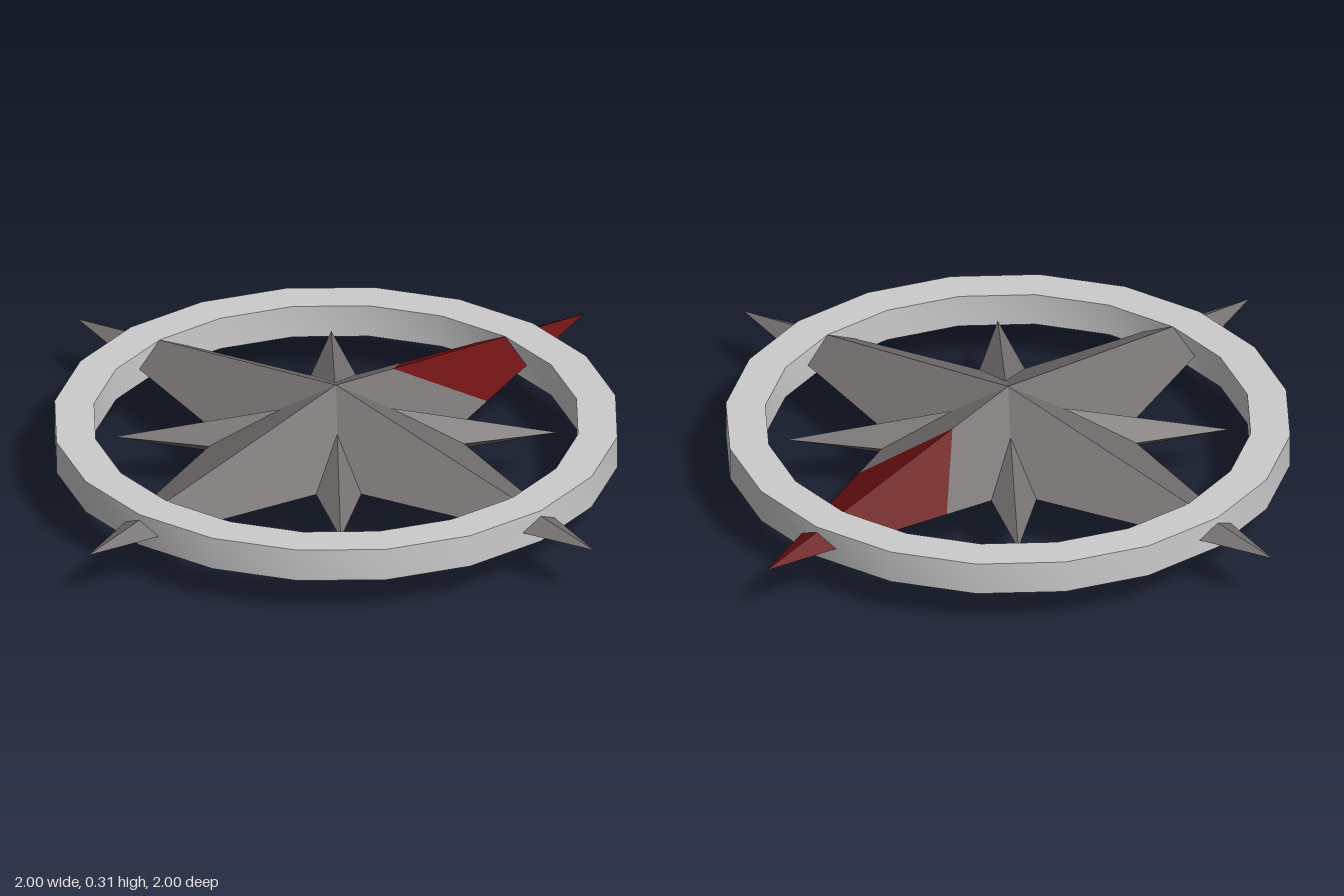
import * as THREE from 'three';
import { toCreasedNormals } from 'three/addons/utils/BufferGeometryUtils.js';

const MID = 0.16; // height of the middle plane

const stone = new THREE.MeshStandardMaterial({ color: 0x757170, flatShading: true });
const red = new THREE.MeshStandardMaterial({ color: 0x6a1012, flatShading: true });
const grey = new THREE.MeshStandardMaterial({ color: 0xcccccc });

// Mirrors a fan of points (x, y, z) to both sides and to the underside
function facetedGeometry(fan) {
  const pos = [];
  for (const sx of [1, -1]) {
    for (const sy of [1, -1]) {
      const p = fan.map(([x, y, z]) => [x * sx, y * sy, z]);
      for (let i = 1; i < p.length - 1; i++) {
        const tri = sx * sy > 0 ? [p[0], p[i], p[i + 1]] : [p[0], p[i + 1], p[i]];
        pos.push(...tri.flat());
      }
    }
  }
  const geo = new THREE.BufferGeometry();
  geo.setAttribute('position', new THREE.Float32BufferAttribute(pos, 3));
  geo.computeVertexNormals();
  return geo;
}

function addArm(parent, name, fan, material, angle) {
  const mesh = new THREE.Mesh(facetedGeometry(fan), material);
  mesh.name = name;
  mesh.rotation.y = angle;
  parent.add(mesh);
}

// Corners of half an arm that points to -z; notch is its x and z distance
function armCorners(length, height, notch) {
  return { centre: [0, height, 0], tip: [0, 0, -length], notch: [notch, 0, -notch] };
}

export function createModel() {
  const model = new THREE.Group();
  model.name = 'compassRose';

  const star = new THREE.Group();
  star.name = 'star';
  star.position.y = MID;
  model.add(star);

  // Three plain main arms
  const main = armCorners(1, 0.157, 0.228);
  for (let i = 1; i < 4; i++) {
    addArm(star, 'mainArm', [main.centre, main.notch, main.tip], stone, i * Math.PI / 2);
  }

  // The back arm is split into a plain base and a red point
  const lerp = (a, b, t) => a.map((v, i) => v + (b[i] - v) * t);
  const ridge = lerp(main.centre, main.tip, 0.23);
  const edge = lerp(main.notch, main.tip, 0.27);
  addArm(star, 'northArmBase', [main.centre, main.notch, edge, ridge], stone, 0);
  addArm(star, 'northArmPoint', [ridge, edge, main.tip], red, 0);

  // Four short diagonal arms
  const minor = armCorners(0.62, 0.109, 0.12);
  for (let i = 0; i < 4; i++) {
    addArm(star, 'diagonalArm', [minor.centre, minor.notch, minor.tip], stone, (i + 0.5) * Math.PI / 2);
  }

  // Twenty-sided ring with a rectangular section
  const inner = 0.682, outer = 0.793, half = 0.048;
  const section = [[inner, -half], [outer, -half], [outer, half], [inner, half], [inner, -half]]
    .map(([r, y]) => new THREE.Vector2(r, y));
  const ring = new THREE.Mesh(toCreasedNormals(new THREE.LatheGeometry(section, 20), 0.6), grey);
  ring.name = 'ring';
  ring.position.y = MID + 0.002;
  model.add(ring);

  return model;
}
